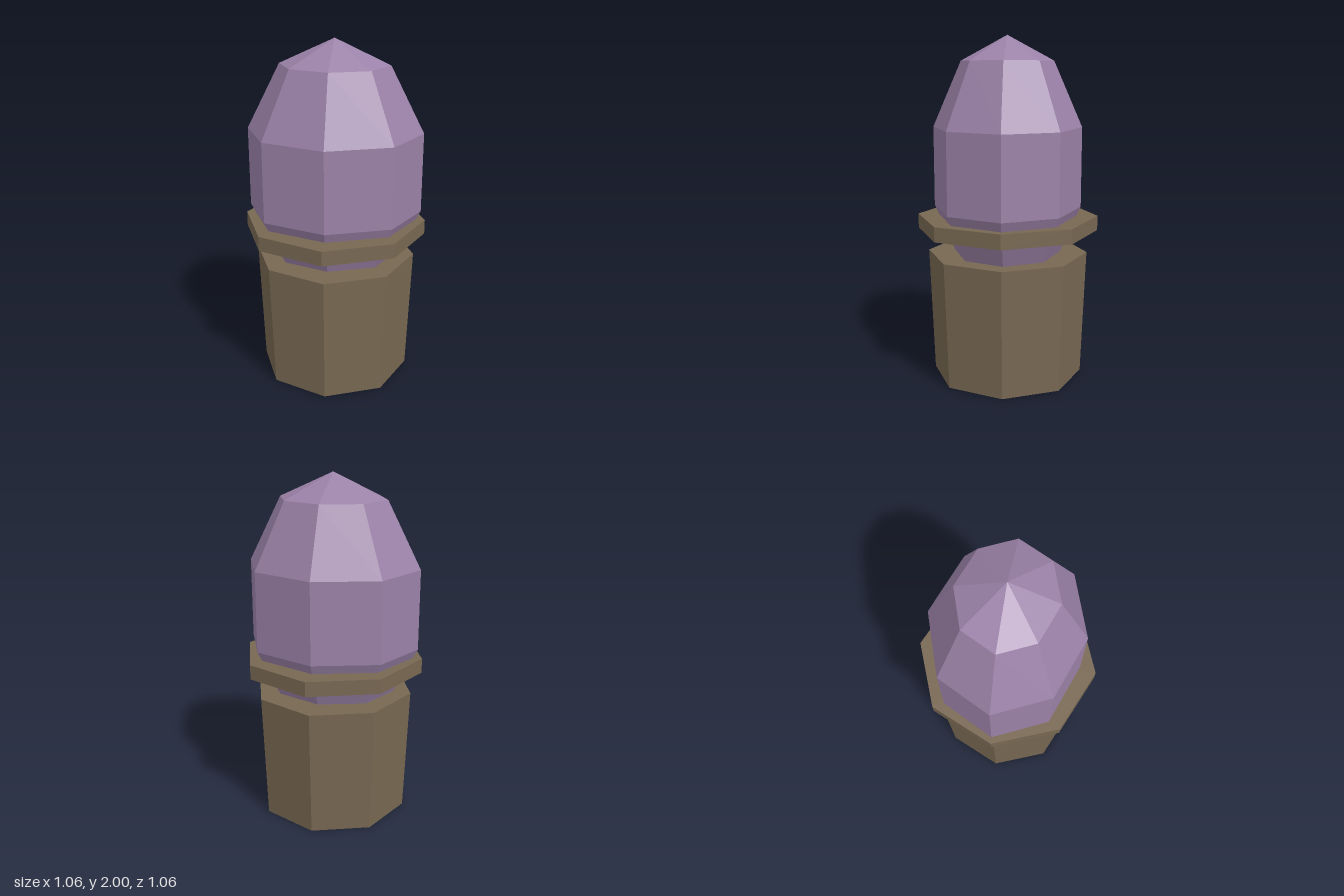
import * as THREE from 'three';

const SIDES = 8;

export function createModel() {
  const model = new THREE.Group();
  const brown = new THREE.MeshStandardMaterial({ color: 0x786852, flatShading: true });
  const purple = new THREE.MeshStandardMaterial({ color: 0x9b82a8, flatShading: true });

  function add(name, geometry, material, y) {
    const mesh = new THREE.Mesh(geometry, material);
    mesh.name = name;
    mesh.position.y = y;
    model.add(mesh);
    return mesh;
  }

  // Tapered octagonal base, slightly wider at the top
  add('base', new THREE.CylinderGeometry(0.47, 0.443, 0.74, SIDES), brown, 0.375);

  // Faceted egg-shaped body, narrower front to back, sunk into the base
  const body = add('body', new THREE.SphereGeometry(1, SIDES, 5), purple, 1.25);
  body.scale.set(0.53, 0.75, 0.453);

  // Flat collar around the lower body
  add('collar', new THREE.CylinderGeometry(0.53, 0.53, 0.085, SIDES), brown, 0.922);

  return model;
}
